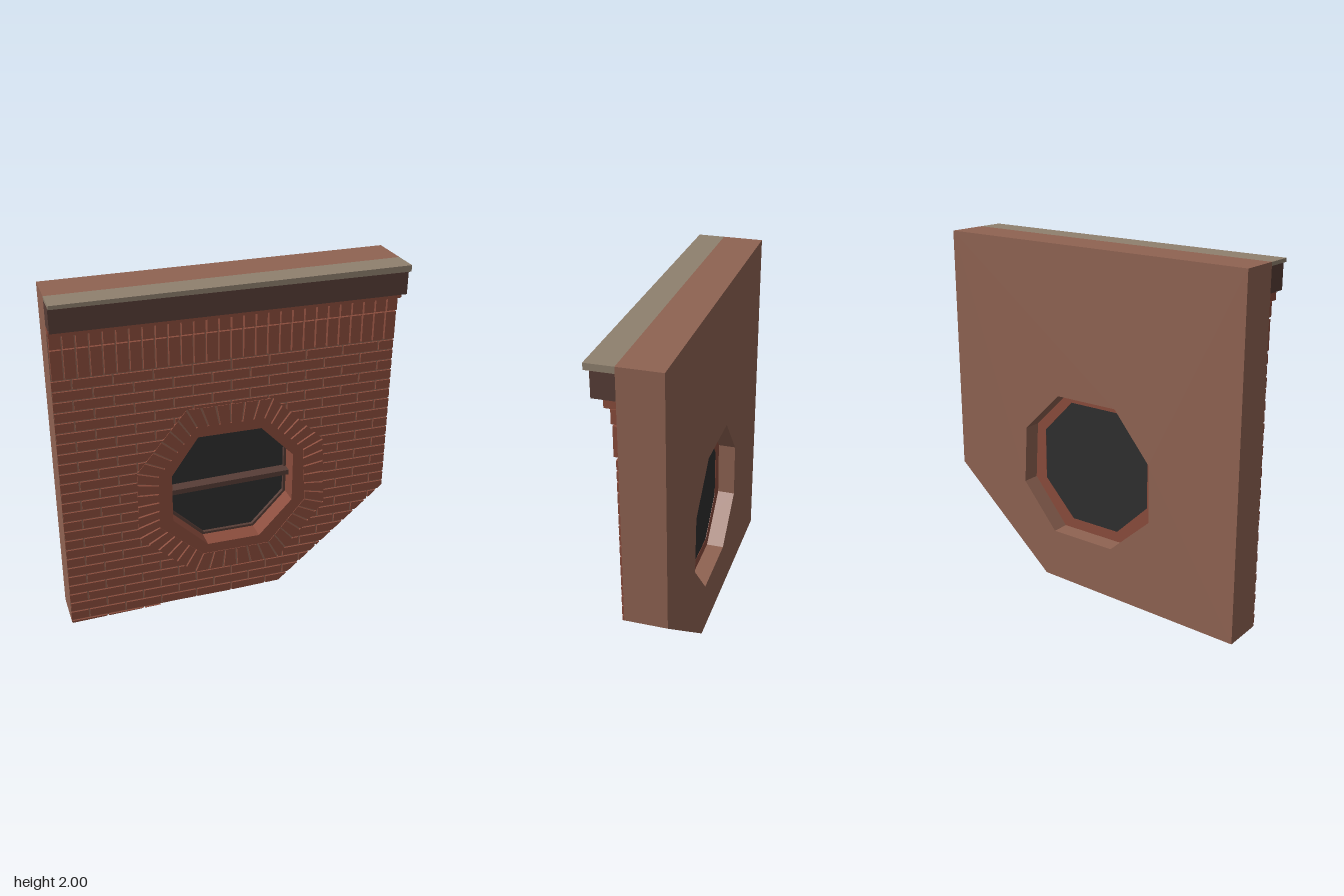
import * as THREE from 'three';
import { mergeGeometries } from 'three/addons/utils/BufferGeometryUtils.js';

const material = (name, color) => {
  const m = new THREE.MeshStandardMaterial({ color });
  m.name = name;
  return m;
};

// Octagonal window outlines, counter-clockwise, and the wall outline
const CENTRE = [0.02, 0.735];
const OUTER = [[-0.165, 0.32], [0.24, 0.32], [0.46, 0.58], [0.44, 0.915], [0.2, 1.15], [-0.19, 1.15], [-0.415, 0.88], [-0.42, 0.55]];
const INNER = [[-0.135, 0.38], [0.18, 0.38], [0.38, 0.59], [0.38, 0.89], [0.185, 1.09], [-0.185, 1.09], [-0.34, 0.87], [-0.34, 0.58]];
const WALL = [[-0.96, 0], [0.31, 0.03], [0.96, 0.59], [0.96, 2], [-0.96, 1.985]];
const WALL_FRONT = 0.04;

const scaled = (pts, s) => pts.map(p => p.map((v, i) => CENTRE[i] + (v - CENTRE[i]) * s));
const rect = (x0, y0, x1, y1) => [[x0, y0], [x1, y0], [x1, y1], [x0, y1]];
const mix = (a, b, t) => [a[0] + (b[0] - a[0]) * t, a[1] + (b[1] - a[1]) * t];

// Extrude a polygon, with an optional hole, between two depths
function slab(pts, z0, z1, hole) {
  const shape = new THREE.Shape(pts.map(p => new THREE.Vector2(...p)));
  if (hole) shape.holes.push(new THREE.Path(hole.map(p => new THREE.Vector2(...p))));
  return new THREE.ExtrudeGeometry(shape, { depth: z1 - z0, bevelEnabled: false }).translate(0, 0, z0);
}

// Keep the part of a polygon left (sign 1) or right (sign -1) of the line a-b
function clip(poly, a, b, sign) {
  const side = p => sign * ((b[0] - a[0]) * (p[1] - a[1]) - (b[1] - a[1]) * (p[0] - a[0]));
  const out = [];
  poly.forEach((p, i) => {
    const q = poly[(i + 1) % poly.length], dp = side(p), dq = side(q);
    if (dp >= 0) out.push(p);
    if ((dp > 0 && dq < 0) || (dp < 0 && dq > 0)) out.push(mix(p, q, dp / (dp - dq)));
  });
  return out;
}

const area = poly => Math.abs(poly.reduce((s, p, i) => {
  const q = poly[(i + 1) % poly.length];
  return s + p[0] * q[1] - q[0] * p[1];
}, 0)) / 2;

const edges = pts => pts.map((p, i) => [p, pts[(i + 1) % pts.length]]);
const inside = (poly, outline) => edges(outline).reduce((r, [a, b]) => clip(r, a, b, 1), poly);

// Pieces of a polygon left over outside a convex outline
function outside(poly, outline) {
  const pieces = [];
  for (const [a, b] of edges(outline)) {
    pieces.push(clip(poly, a, b, -1));
    poly = clip(poly, a, b, 1);
  }
  return pieces.filter(p => p.length > 2 && area(p) > 1e-5);
}

export function createModel() {
  const group = new THREE.Group();
  group.name = 'brickWallWithWindow';
  const plaster = material('wall brown', 0x8f6352);
  const brick = material('brick red', 0x8a4c3c);
  const trim = material('dark trim', 0x573d36);
  const stone = material('cap stone', 0x8f806e);
  const glass = material('dark glass', 0x2e2e2e);
  const add = (name, geometry, mat) => {
    const mesh = new THREE.Mesh(geometry, mat);
    mesh.name = name;
    group.add(mesh);
  };

  // Solid wall with the window opening
  add('wall', slab(WALL, -0.19, WALL_FRONT, OUTER), plaster);

  // Running-bond courses, cut around the window and along the wall outline
  const gap = 0.005, pitch = 0.0605, length = 0.2155, top = 1.53;
  const arch = scaled(OUTER, 1.28);
  const bricks = [];
  for (let row = 0; row < 26; row++) {
    const y1 = top - row * pitch;
    const start = -0.96 - (row % 2 ? length / 2 : 0) + 0.105 - length;
    for (let k = 0; k < 11; k++) {
      const x = start + k * length;
      const b = inside(rect(x + gap, y1 - pitch + gap, x + length - gap, y1 - gap), WALL);
      if (b.length < 3) continue;
      for (const piece of outside(b, arch)) bricks.push(slab(piece, WALL_FRONT, 0.05));
    }
  }
  add('brickCourses', mergeGeometries(bricks), brick);

  // Radial bricks around the window
  const radial = [];
  edges(OUTER).forEach(([a, b], i) => {
    const A = arch[i], B = arch[(i + 1) % 8], n = 6;
    for (let k = 0; k < n; k++) {
      const t0 = (k + 0.08) / n, t1 = (k + 0.92) / n;
      radial.push(slab([mix(a, b, t0), mix(A, B, t0), mix(A, B, t1), mix(a, b, t1)], WALL_FRONT, 0.054));
    }
  });
  add('radialBricks', mergeGeometries(radial), brick);

  // Upright bricks and headers under the cornice
  const upright = [], count = 28, step = 1.92 / count;
  for (let k = 0; k < count; k++) {
    const x0 = -0.96 + k * step + gap, x1 = x0 + step - 2 * gap;
    upright.push(slab(rect(x0, 1.54, x1, 1.7), WALL_FRONT, 0.063));
    upright.push(slab(rect(x0, 1.71, x1, 1.785), WALL_FRONT, 0.07));
  }
  add('uprightBricks', mergeGeometries(upright), brick);

  // Stepped cornice
  add('corniceLedge', slab(rect(-0.96, 1.79, 0.96, 1.83), WALL_FRONT, 0.1), brick);
  add('corniceBand', slab(rect(-0.96, 1.83, 0.96, 1.965), WALL_FRONT, 0.16), trim);
  add('corniceCap', slab([[-0.96, 1.965], [0.96, 1.965], [0.96, 2], [-0.96, 1.985]], WALL_FRONT, 0.19), stone);

  // Window: brick surround, thin frame, pane and crossbar
  add('windowSurround', slab(OUTER, -0.09, 0.05, INNER), brick);
  add('windowFrame', slab(INNER, -0.085, -0.06, scaled(INNER, 0.96)), trim);
  add('windowPane', slab(INNER, -0.088, -0.08), glass);
  add('windowCrossbar', slab([[-0.34, 0.71], [0.38, 0.727], [0.38, 0.757], [-0.34, 0.74]], -0.08, -0.01), trim);
  return group;
}
